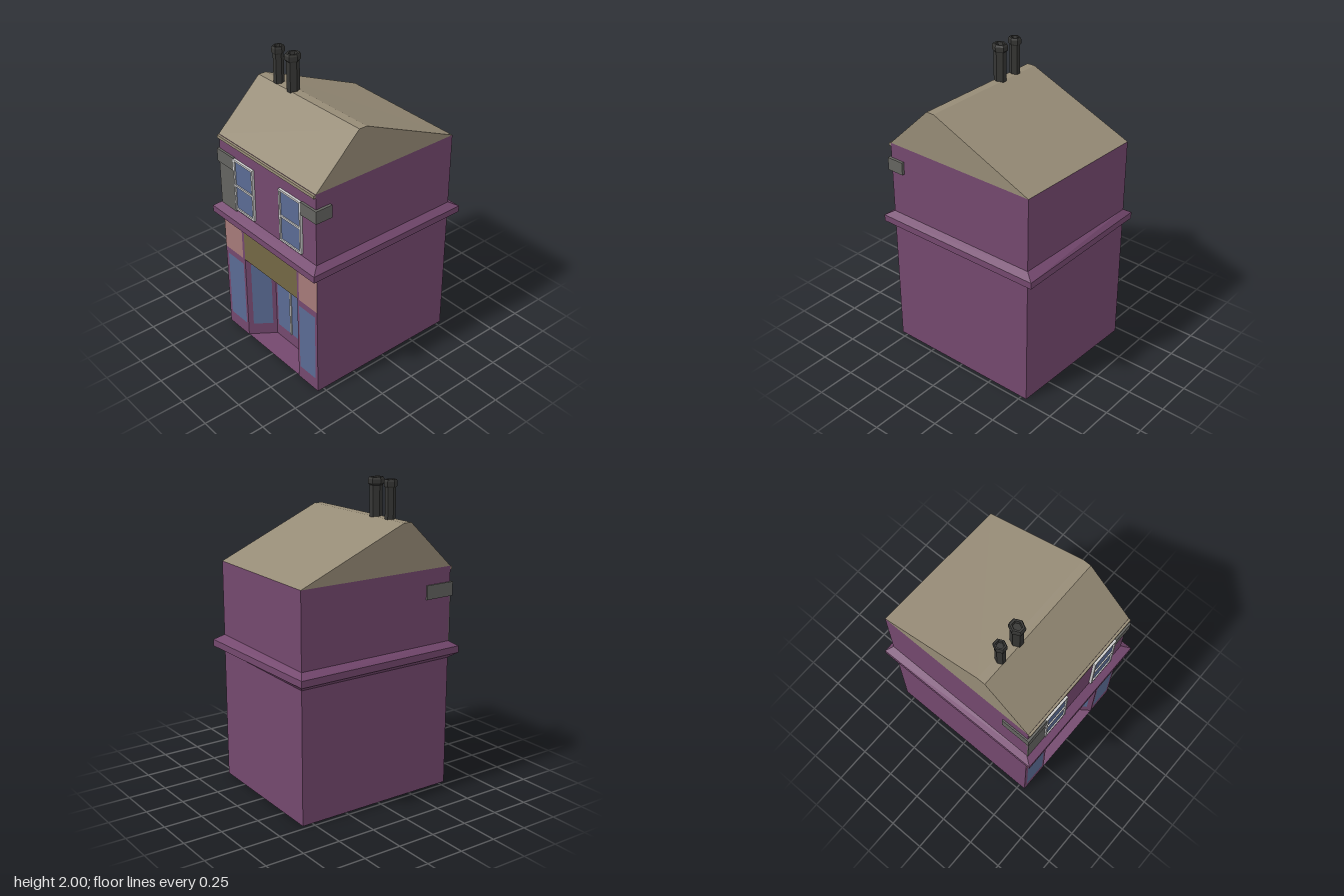
import * as THREE from 'three';

const mat = (color) => new THREE.MeshStandardMaterial({ color, flatShading: true, side: THREE.DoubleSide });
const PURPLE = mat(0x74486e), ROOF = mat(0x968b76), GLASS = mat(0x5a6b94), GOLD = mat(0x736744);
const PINK = mat(0xa57a78), GREY = mat(0x646460), FRAME = mat(0xcccccc), SOOT = mat(0x363634);

// Footprint and main levels
const L = -0.47, R = 0.472, FRONT = 0.545, BACK_L = -0.568, BACK_R = -0.54;
const BAND_LOW = 0.86, EAVE = 1.455, RIDGE = 1.76;
const SHOP_TOP = 0.62;

export function createModel() {
  const model = new THREE.Group();

  const add = (name, geometry, material, parent = model) => {
    const mesh = new THREE.Mesh(geometry, material);
    mesh.name = name;
    parent.add(mesh);
    return mesh;
  };

  const box = (name, x0, x1, y0, y1, z0, z1, material, parent) => {
    const mesh = add(name, new THREE.BoxGeometry(x1 - x0, y1 - y0, z1 - z0), material, parent);
    mesh.position.set((x0 + x1) / 2, (y0 + y1) / 2, (z0 + z1) / 2);
    return mesh;
  };

  const rect = (Type, x0, x1, y0, y1) => new Type([
    new THREE.Vector2(x0, y0), new THREE.Vector2(x1, y0),
    new THREE.Vector2(x1, y1), new THREE.Vector2(x0, y1),
  ]);

  // Upright wall from a to b in plan; panes are [x0, x1, y0, y1] and get glazed
  const wall = (name, [ax, az], [bx, bz], y0, y1, material, panes = []) => {
    const length = Math.hypot(bx - ax, bz - az);
    const along = (x) => (x - ax) / (bx - ax) * length;
    const group = new THREE.Group();
    group.name = name;
    const shape = rect(THREE.Shape, 0, length, y0, y1);
    for (const [x0, x1, p0, p1] of panes) {
      shape.holes.push(rect(THREE.Path, along(x0), along(x1), p0, p1));
      add(name + 'Glass', new THREE.ShapeGeometry(rect(THREE.Shape, along(x0), along(x1), p0, p1)), GLASS, group);
    }
    add(name + 'Panel', new THREE.ShapeGeometry(shape), material, group);
    group.position.set(ax, 0, az);
    group.rotation.y = -Math.atan2(bz - az, bx - ax);
    model.add(group);
  };

  // Flat-faced skin between successive four-cornered rings
  const loft = (rings, capTop = false) => {
    const points = [];
    const quad = (a, b, c, d) => points.push(...a, ...b, ...c, ...a, ...c, ...d);
    for (let i = 0; i < rings.length - 1; i++) {
      for (let j = 0; j < 4; j++) {
        const k = (j + 1) % 4;
        quad(rings[i][j], rings[i][k], rings[i + 1][k], rings[i + 1][j]);
      }
    }
    if (capTop) quad(...rings[rings.length - 1]);
    const geometry = new THREE.BufferGeometry();
    geometry.setAttribute('position', new THREE.Float32BufferAttribute(points, 3));
    geometry.computeVertexNormals();
    return geometry;
  };
  const body = (y) => [[L, y, FRONT], [R, y, FRONT], [R, y, BACK_R], [L, y, BACK_L]];

  // Plain outer walls, open underneath
  wall('rightHandWall', [R, FRONT], [R, BACK_R], 0, EAVE, PURPLE);
  wall('leftHandWall', [L, BACK_L], [L, FRONT], 0, EAVE, PURPLE);
  wall('backWall', [R, BACK_R], [L, BACK_L], 0, EAVE, PURPLE);
  wall('upperFrontWall', [L, FRONT], [R, FRONT], BAND_LOW, EAVE, PURPLE);

  // Shop front: side windows, angled porch walls and glazed doors
  const P0 = -0.26, P1 = 0.28, D0 = -0.147, D1 = 0.168, PORCH = 0.39;
  wall('shopWindowWest', [L, FRONT], [P0, FRONT], 0, SHOP_TOP, PURPLE, [[-0.445, -0.28, 0.09, 0.575]]);
  wall('shopWindowEast', [P1, FRONT], [R, FRONT], 0, SHOP_TOP, PURPLE, [[0.297, 0.45, 0.09, 0.575]]);
  wall('porchWallWest', [P0, FRONT], [D0, PORCH], 0, SHOP_TOP, PURPLE, [[-0.24, -0.163, 0.09, 0.575]]);
  wall('porchWallEast', [D1, PORCH], [P1, FRONT], 0, SHOP_TOP, PURPLE, [[0.185, 0.26, 0.09, 0.575]]);
  wall('doorWall', [D0, PORCH], [D1, PORCH], 0, SHOP_TOP, PURPLE, [[-0.13, 0.155, 0.09, 0.58]]);
  box('doorMullion', 0.004, 0.018, 0.09, 0.58, PORCH - 0.006, PORCH + 0.008, FRAME);

  // Fascia over the shop front
  wall('fascia', [P0, FRONT], [P1, FRONT], SHOP_TOP, BAND_LOW, GOLD);
  wall('fasciaStripWest', [-0.282, FRONT], [P0, FRONT], SHOP_TOP, BAND_LOW, PURPLE);
  wall('fasciaStripEast', [P1, FRONT], [0.297, FRONT], SHOP_TOP, BAND_LOW, PURPLE);
  wall('sidePanelWest', [L, FRONT], [-0.282, FRONT], SHOP_TOP, BAND_LOW, PINK);
  wall('sidePanelEast', [0.297, FRONT], [R, FRONT], SHOP_TOP, BAND_LOW, PINK);

  // Porch floor and ceiling
  const porchPlan = new THREE.Shape([[P0, FRONT], [P1, FRONT], [D1, PORCH], [D0, PORCH]]
    .map(([x, z]) => new THREE.Vector2(x, -z)));
  for (const [name, y] of [['porchFloor', 0.005], ['porchCeiling', SHOP_TOP]]) {
    add(name, new THREE.ShapeGeometry(porchPlan).rotateX(-Math.PI / 2), PURPLE).position.y = y;
  }

  // Moulded band around all four sides
  const outer = (y) => [[-0.51, y, 0.6], [0.515, y, 0.6], [0.515, y, -0.6], [-0.52, y, -0.6]];
  add('cornice', loft([body(BAND_LOW), outer(0.893), outer(0.937), body(0.97)]), PURPLE);

  // Roof with a narrow flat ridge and a small front eave
  const ridge = [[L, RIDGE, 0.225], [R, RIDGE, 0.225], [R, RIDGE, 0.17], [L, RIDGE, 0.17]];
  add('roof', loft([body(EAVE), ridge], true), ROOF);
  box('eave', L, R, 1.432, EAVE - 0.003, FRONT, 0.56, ROOF);

  // Upper sash windows
  for (const [x0, x1] of [[-0.31, -0.115], [0.142, 0.348]]) {
    const sash = new THREE.Group(), y0 = 0.99, y1 = 1.35, t = 0.013;
    sash.name = 'sashWindow';
    box('windowGlass', x0 + t, x1 - t, y0 + t, y1 - t, FRONT, 0.553, GLASS, sash);
    for (const x of [x0, x1 - t]) box('windowStile', x, x + t, y0, y1, FRONT, 0.562, FRAME, sash);
    for (const y of [y0, 1.16, y1 - t]) box('windowRail', x0 + t, x1 - t, y, y + t, FRONT, 0.561, FRAME, sash);
    model.add(sash);
  }

  // Grey corner signs and the panel below one of them
  box('cornerSignWest', -0.48, -0.31, 1.265, 1.355, 0.355, 0.56, GREY);
  box('cornerSignEast', 0.348, 0.49, 1.27, 1.355, 0.44, 0.56, GREY);
  box('greyPanel', L, -0.31, 0.96, 1.265, FRONT - 0.01, 0.553, GREY);

  // Six-sided chimney pots with hollow tops
  for (const [x, r] of [[-0.302, 0.037], [-0.16, 0.045]]) {
    const profile = [[0.8, 1.74], [0.8, 1.95], [1, 1.96], [1, 1.988], [0.86, 2], [0.6, 2], [0.5, 1.98], [0, 1.98]]
      .map(([k, y]) => new THREE.Vector2(k * r, y));
    const pot = add('chimneyPot', new THREE.LatheGeometry(profile, 6, Math.PI / 2), SOOT);
    pot.position.set(x, 0, 0.196);
    pot.scale.z = 1.18;
  }

  return model;
}
